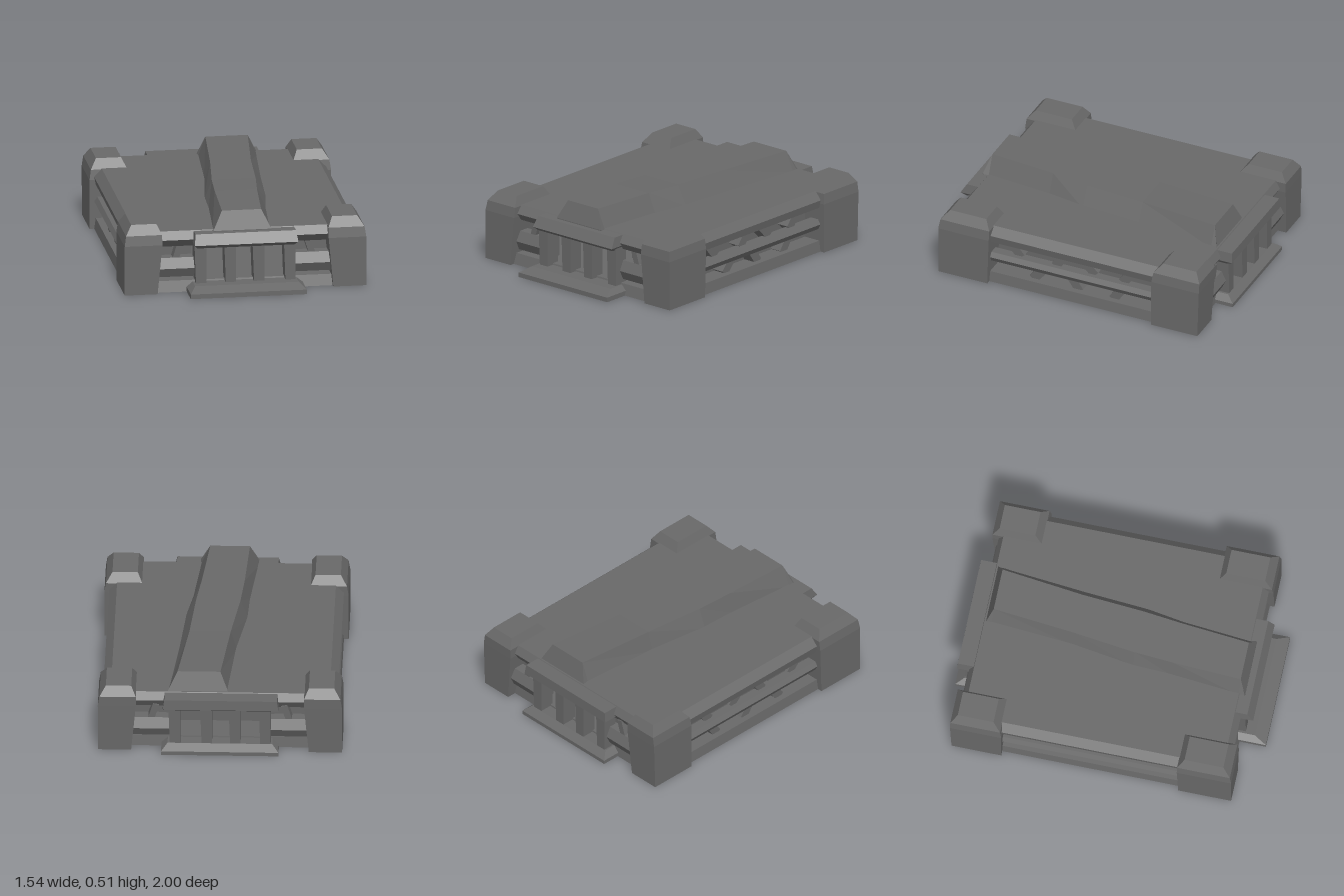
import * as THREE from 'three';

// Closed faceted solid through a row of four-cornered rings
function loft(rings) {
  const pos = [];
  const quad = (a, b, c, d) => pos.push(...a, ...b, ...c, ...a, ...c, ...d);
  for (let i = 0; i + 1 < rings.length; i++) {
    for (let j = 0; j < 4; j++) {
      const k = (j + 1) % 4;
      quad(rings[i][j], rings[i][k], rings[i + 1][k], rings[i + 1][j]);
    }
  }
  const [a, b, c, d] = rings[0];
  quad(d, c, b, a);
  quad(...rings[rings.length - 1]);
  const geo = new THREE.BufferGeometry();
  geo.setAttribute('position', new THREE.Float32BufferAttribute(pos, 3));
  geo.computeVertexNormals();
  return geo;
}

// Rectangles stacked upward: each level is [y, x0, x1, z0, z1]
const stack = (levels) => loft(levels.map(([y, x0, x1, z0, z1]) =>
  [[x0, y, z1], [x1, y, z1], [x1, y, z0], [x0, y, z0]]));

export function createModel() {
  const group = new THREE.Group();
  const stone = new THREE.MeshStandardMaterial({ color: 0x686868, flatShading: true });
  stone.name = 'darkGreyStone';

  const add = (name, geo) => {
    const mesh = new THREE.Mesh(geo, stone);
    mesh.name = name;
    group.add(mesh);
    return mesh;
  };
  const box = (name, x0, x1, y0, y1, z0, z1) => {
    const mesh = add(name, new THREE.BoxGeometry(x1 - x0, y1 - y0, z1 - z0));
    mesh.position.set((x0 + x1) / 2, (y0 + y1) / 2, (z0 + z1) / 2);
    return mesh;
  };

  // Floor slab and the sills sticking out at both ends
  add('floor', stack([[0, -0.74, 0.74, -0.88, 0.83], [0.07, -0.73, 0.73, -0.87, 0.81]]));
  add('frontSill', stack([
    [0, -0.37, 0.37, 0.7, 1], [0.03, -0.37, 0.37, 0.7, 1], [0.06, -0.33, 0.33, 0.7, 0.92]]));
  add('backSill', stack([
    [0, -0.37, 0.37, -1, -0.75], [0.025, -0.37, 0.37, -1, -0.75], [0.06, -0.33, 0.33, -0.95, -0.75]]));

  // Roof slab with bevelled rims
  add('roof', stack([
    [0.29, -0.73, 0.73, -0.88, 0.79], [0.34, -0.74, 0.74, -0.91, 0.83], [0.39, -0.69, 0.69, -0.88, 0.79]]));

  // Lintels over the barred openings
  add('frontLintel', stack([
    [0.295, -0.31, 0.31, 0.7, 0.88], [0.32, -0.33, 0.33, 0.7, 0.91], [0.385, -0.32, 0.32, 0.7, 0.87]]));
  add('backLintel', stack([
    [0.295, -0.3, 0.34, -0.95, -0.75], [0.32, -0.37, 0.36, -0.99, -0.75], [0.385, -0.36, 0.35, -0.985, -0.75]]));

  // Skewed ridge on the roof: z, base left, base right, top left, top right, top y
  const ridge = [
    [-0.87, -0.05, 0.33, -0.05, 0.33, 0.39],
    [-0.83, -0.05, 0.33, 0.0, 0.27, 0.51],
    [-0.3, -0.09, 0.28, -0.05, 0.21, 0.505],
    [0.1, -0.15, 0.25, -0.1, 0.18, 0.505],
    [0.35, -0.16, 0.21, -0.12, 0.15, 0.51],
    [0.79, -0.2, 0.17, -0.14, 0.11, 0.51],
    [0.83, -0.2, 0.17, -0.2, 0.17, 0.39],
  ];
  add('roofRidge', loft(ridge.map(([z, bl, br, tl, tr, y]) =>
    [[bl, 0.375, z], [br, 0.375, z], [tr, y, z], [tl, y, z]])));

  for (const s of [-1, 1]) {
    const span = (a, b) => (s > 0 ? [a, b] : [-b, -a]);

    // Chunky corner posts with bevelled caps
    for (const [name, z0, z1] of [['frontPost', 0.51, 0.86], ['backPost', -0.95, -0.62]]) {
      add(name, stack([
        [0, ...span(0.56, 0.77), z0 + 0.01, z1],
        [0.32, ...span(0.53, 0.77), z0, z1],
        [0.385, ...span(0.53, 0.76), z0, z1 - 0.01],
        [0.445, ...span(0.56, 0.72), z0 + 0.04, z1 - 0.06],
      ]));
    }

    // Side wall: slat, recessed panel and rough slanted braces
    add('sideSlat', stack([
      [0.145, ...span(0.66, 0.72), -0.65, 0.55],
      [0.18, ...span(0.66, 0.74), -0.65, 0.55],
      [0.21, ...span(0.66, 0.72), -0.65, 0.55]]));
    box('sideInnerWall', ...span(0.57, 0.61), 0.05, 0.31, -0.7, 0.6);
    for (const [z, y, tilt] of [[0.36, 0.25, 0.7], [0.05, 0.25, -0.6], [-0.15, 0.25, 0.8],
      [-0.42, 0.25, -0.7], [0.2, 0.11, -0.7], [-0.05, 0.11, 0.6], [-0.35, 0.11, -0.6]]) {
      box('sideBrace', ...span(0.6, 0.69), y - 0.06, y + 0.06, z - 0.03, z + 0.03).rotation.x = tilt;
    }

    // End walls between the bars and the posts
    for (const [name, za, zb] of [['front', 0.72, 0.79], ['back', -0.9, -0.83]]) {
      const mid = (za + zb) / 2;
      const dir = Math.sign(mid);
      const inner = mid - dir * 0.07;
      box(name + 'EndWall', ...span(0.32, 0.58), 0.05, 0.31, inner - 0.02, inner + 0.02);
      add(name + 'EndRail', stack([
        [0.09, ...span(0.31, 0.58), za, zb],
        [0.15, ...span(0.31, 0.58), za - (dir < 0 ? 0.03 : 0), zb + (dir > 0 ? 0.03 : 0)],
        [0.215, ...span(0.31, 0.58), za, zb]]));
      box(name + 'EndStrut', ...span(0.4, 0.44), 0.2, 0.31, za, zb).rotation.z = s * 0.3;
    }
  }

  // Vertical bars in both openings
  for (const x of [-0.285, -0.095, 0.085, 0.285]) {
    add('frontBar', stack([
      [0.04, x - 0.03, x + 0.035, 0.76, 0.86], [0.31, x - 0.04, x + 0.035, 0.76, 0.86]]));
    add('backBar', stack([
      [0.04, x - 0.035, x + 0.03, -0.95, -0.85], [0.31, x - 0.035, x + 0.04, -0.95, -0.85]]));
  }

  // Low beam hanging inside the back opening
  box('backInnerBeam', -0.34, 0.34, 0.165, 0.31, -0.84, -0.8);

  return group;
}
